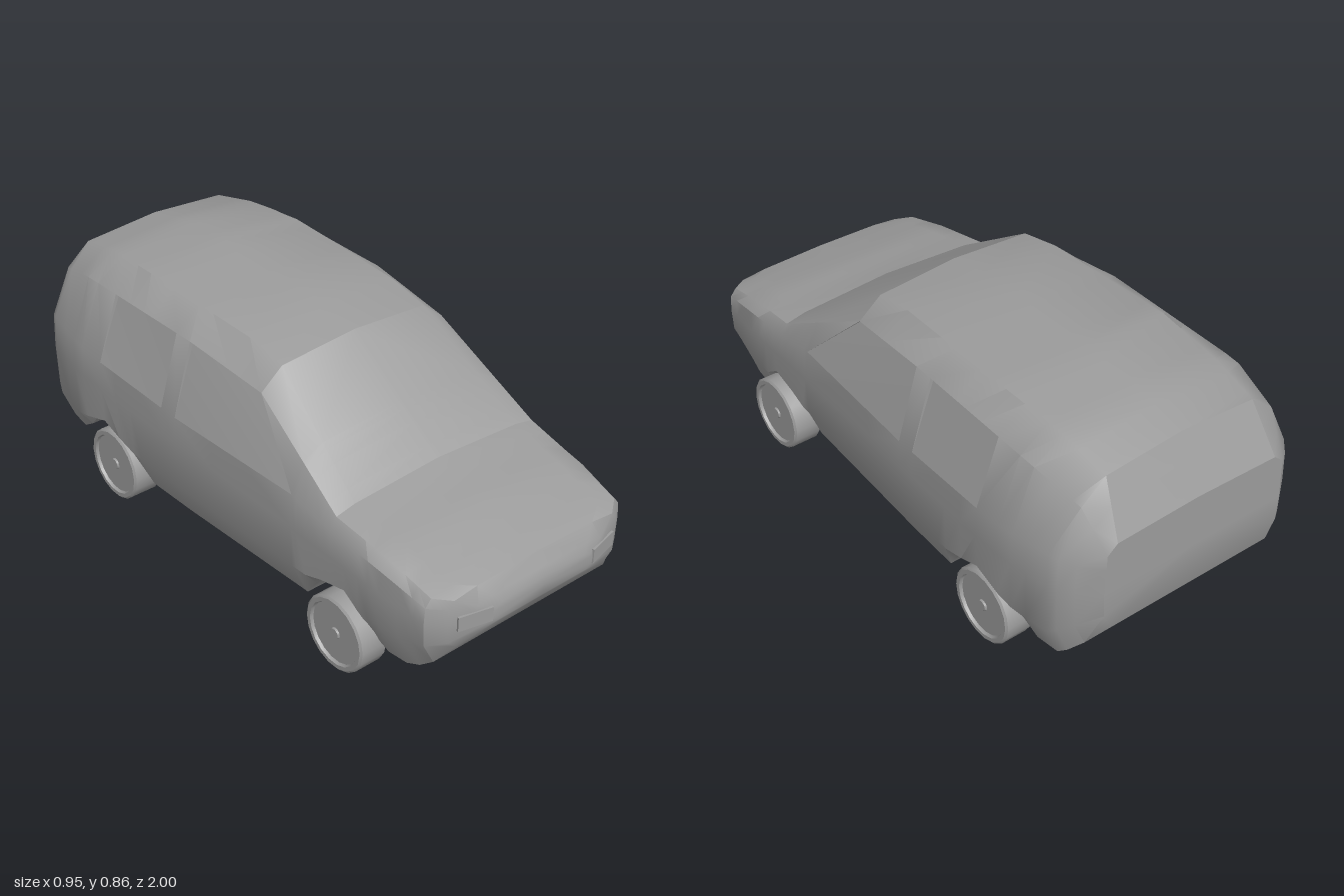
import * as THREE from 'three';
import { toCreasedNormals } from 'three/addons/utils/BufferGeometryUtils.js';

const grey = new THREE.MeshStandardMaterial({ color: 0x9c9c9c, side: THREE.DoubleSide });
grey.name = 'plain grey';

// Piecewise-linear curve over z; knots run from the nose to the tail
function curve(...k) {
  return z => {
    for (let i = 1; i < k.length; i++) {
      if (z >= k[i][0]) {
        const t = (z - k[i - 1][0]) / (k[i][0] - k[i - 1][0]);
        return k[i - 1][1] + t * (k[i][1] - k[i - 1][1]);
      }
    }
    return k[k.length - 1][1];
  };
}

// Heights of the lengthwise lines, from the underside to the roof
const bottomY = curve([1, .31], [.98, .28], [.9, .165], [.82, .13], [.75, .13], [.7, .15], [.66, .22], [.6, .28],
  [.5, .26], [.43, .2], [.39, .14], [-.38, .14], [-.42, .2], [-.5, .27], [-.58, .3], [-.68, .27], [-.74, .2],
  [-.8, .16], [-.88, .16], [-.93, .2], [-1, .3]);
const lowY = curve([1, .32], [.96, .28], [.8, .25], [0, .25], [-.88, .27], [-1, .36]);
const midY = curve([1, .335], [.9, .36], [.6, .38], [0, .42], [-.9, .45], [-1, .45]);
const beltY = curve([1, .35], [.96, .4], [.75, .45], [.54, .475], [.37, .515], [-.18, .52], [-.58, .54], [-.88, .57], [-1, .54]);
const railY = curve([1, .36], [.96, .425], [.75, .48], [.54, .515], [.15, .735], [-.18, .77], [-.73, .765], [-.91, .72], [-1, .59]);
const edgeY = curve([1, .37], [.96, .435], [.75, .495], [.54, .53], [.15, .8], [0, .83], [-.5, .845], [-.73, .83], [-.91, .79], [-1, .62]);
const topY = curve([1, .375], [.96, .44], [.75, .5], [.56, .535], [.15, .82], [-.03, .85], [-.5, .865], [-.73, .85], [-.91, .81], [-1, .63]);

// Half widths
const sideX = curve([1, .2], [.97, .33], [.92, .4], [.75, .42], [.37, .435], [-.18, .462], [-.7, .475], [-.88, .45], [-.93, .43], [-1, .34]);
const railX = curve([1, .19], [.97, .31], [.92, .375], [.54, .4], [.15, .365], [-.18, .385], [-.73, .39], [-.91, .36], [-1, .335]);
const edgeX = curve([1, .17], [.92, .3], [.54, .33], [.15, .285], [-.5, .3], [-.91, .275], [-1, .3]);

const BELT = 4, RAIL = 5, EDGE = 6, TOP = 7;
const rows = [
  z => [0, bottomY(z)],
  z => [sideX(z) * .89, bottomY(z)],
  z => [sideX(z) * .99, Math.max(lowY(z), bottomY(z) + .012)],
  z => [sideX(z), midY(z)],
  z => [sideX(z) * .99, beltY(z)],
  z => [railX(z), railY(z)],
  z => [edgeX(z), edgeY(z)],
  z => [0, topY(z)],
];
const point = (z, j) => [...rows[j](z), z];

// Collects faces for the left half and mirrors each to the right
class Skin {
  data = [];
  tri(a, b, c) {
    const m = p => [-p[0], p[1], p[2]];
    this.data.push(...a, ...b, ...c, ...m(a), ...m(c), ...m(b));
  }
  quad(a, b, c, d) { this.tri(a, b, c); this.tri(a, c, d); }
  mesh(name, crease = .65) {
    const g = new THREE.BufferGeometry();
    g.setAttribute('position', new THREE.Float32BufferAttribute(this.data, 3));
    const mesh = new THREE.Mesh(toCreasedNormals(g, crease), grey);
    mesh.name = name;
    return mesh;
  }
}

function addShell(car) {
  const body = new Skin(), windshield = new Skin(), rearWindow = new Skin(), sideWindows = new Skin();
  const zs = [1, .985, .96, .92, .87, .82, .75, .7, .66, .6, .54, .5, .43, .39, .37, .15, 0, -.18, -.25, -.38, -.42,
    -.5, -.58, -.68, -.74, -.8, -.88, -.91, -.95, -1];
  for (let i = 0; i < zs.length - 1; i++) {
    const f = zs[i], r = zs[i + 1];
    for (let j = 0; j < TOP; j++) {
      const q = [point(f, j), point(r, j), point(r, j + 1), point(f, j + 1)];
      if (j === BELT && f === .37) body.tri(q[0], q[2], q[3]);                // front pillar
      else if (j === BELT && ((f <= .15 && r >= -.18) || (f <= -.25 && r >= -.58))) continue; // window openings
      else if (j >= RAIL && f <= .54 && r >= .15) windshield.quad(...q);
      else if (j === EDGE && f <= -.91) rearWindow.quad(...q);
      else body.quad(...q);
    }
  }
  // Flat nose and tail
  for (let j = 0; j < TOP; j++) {
    body.tri([0, .345, 1], point(1, j), point(1, j + 1));
    body.tri([0, .45, -1], point(-1, j + 1), point(-1, j));
  }
  // Side glass, set in at the top, with its reveals
  for (const [bottomFront, topFront, rear] of [[.37, .15, -.18], [-.25, -.25, -.58]]) {
    const a = point(bottomFront, BELT), b = point(rear, BELT), c = point(rear, RAIL), d = point(topFront, RAIL);
    const inset = p => [p[0] - .015, p[1], p[2]];
    const ci = inset(c), di = inset(d);
    sideWindows.quad(a, b, ci, di);
    body.quad(di, ci, c, d);
    body.tri(a, di, d);
    body.tri(b, c, ci);
  }
  car.add(body.mesh('body'), windshield.mesh('windshield'), rearWindow.mesh('rearWindow'), sideWindows.mesh('sideWindows'));
}

function addWheels(car) {
  const profile = [[0, -.052], [.122, -.052], [.129, -.046], [.129, .046], [.122, .052], [.108, .052], [.104, .042],
    [.02, .042], [.017, .048], [0, .048]].map(p => new THREE.Vector2(...p));
  const geometry = toCreasedNormals(new THREE.LatheGeometry(profile, 18), .5);
  for (const [end, z] of [['front', .585], ['rear', -.575]]) {
    for (const s of [1, -1]) {
      const wheel = new THREE.Mesh(geometry, grey);
      wheel.name = end + (s > 0 ? 'LeftWheel' : 'RightWheel');
      wheel.rotation.z = -s * Math.PI / 2;
      wheel.position.set(s * .398, .13, z);
      car.add(wheel);
    }
  }
}

function addHeadlights(car) {
  for (const s of [1, -1]) {
    const light = new THREE.Mesh(new THREE.BoxGeometry(.115, .05, .008), grey);
    light.name = s > 0 ? 'leftHeadlight' : 'rightHeadlight';
    light.position.set(s * .262, .345, .986);
    light.rotation.y = s * .23;
    car.add(light);
  }
}

export function createModel() {
  const car = new THREE.Group();
  car.name = 'van';
  addShell(car);
  addWheels(car);
  addHeadlights(car);
  return car;
}
